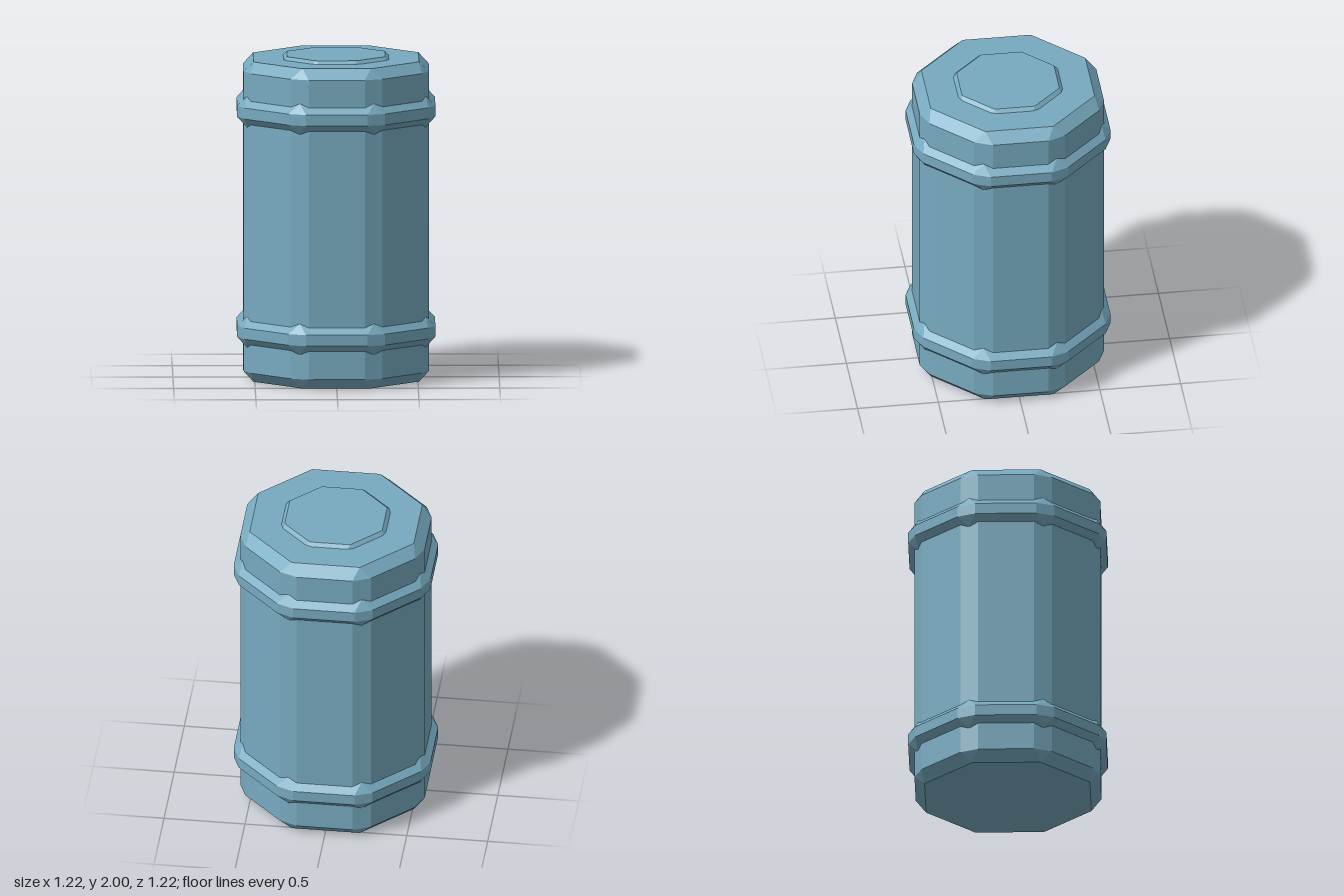
import * as THREE from 'three';

const SHARP = Math.tan(Math.PI / 8); // half-edge / apothem of a plain octagon

// Octagon with cut corners: a = distance to a flat side, h = half length of that side
function section({ y, a, h = a * SHARP }) {
  const pts = [];
  const r = Math.hypot(a, h), d = Math.atan2(h, a);
  for (let k = 0; k < 8; k++) {
    for (const s of [-1, 1]) {
      const t = k * Math.PI / 4 + s * d;
      pts.push(new THREE.Vector3(r * Math.sin(t), y, r * Math.cos(t)));
    }
  }
  return pts;
}

// Skin a stack of sections from bottom to top and close both ends
function loft(name, levels, material) {
  const rings = levels.map(section);
  const pos = [];
  const tri = (a, b, c) => {
    const area = b.clone().sub(a).cross(c.clone().sub(a)).length();
    if (area > 1e-7) for (const p of [a, b, c]) pos.push(p.x, p.y, p.z);
  };
  for (let i = 0; i < rings.length - 1; i++) {
    const lo = rings[i], up = rings[i + 1];
    for (let j = 0; j < 16; j++) {
      const n = (j + 1) % 16;
      tri(lo[j], lo[n], up[n]);
      tri(lo[j], up[n], up[j]);
    }
  }
  const first = rings[0], last = rings[rings.length - 1];
  const bottom = new THREE.Vector3(0, levels[0].y, 0);
  const top = new THREE.Vector3(0, levels[levels.length - 1].y, 0);
  for (let j = 0; j < 16; j++) {
    const n = (j + 1) % 16;
    tri(bottom, first[n], first[j]);
    tri(top, last[j], last[n]);
  }
  const geometry = new THREE.BufferGeometry();
  geometry.setAttribute('position', new THREE.Float32BufferAttribute(pos, 3));
  geometry.computeVertexNormals();
  const mesh = new THREE.Mesh(geometry, material);
  mesh.name = name;
  return mesh;
}

export function createModel() {
  const group = new THREE.Group();
  group.name = 'barrel';
  const paint = new THREE.MeshStandardMaterial({ color: 0x77aac0 });
  paint.name = 'steel blue';
  paint.flatShading = true;

  // Main drum with bevelled rims
  group.add(loft('body', [
    { y: 0, a: 0.507 },
    { y: 0.063, a: 0.57, h: 0.172 },
    { y: 1.917, a: 0.57, h: 0.172 },
    { y: 1.98, a: 0.507 },
  ], paint));

  // Two hoops whose bevels sink into the drum
  for (const [name, y] of [['lowerHoop', 0.31], ['upperHoop', 1.673]]) {
    group.add(loft(name, [
      { y: y - 0.095, a: 0.548 },
      { y: y - 0.034, a: 0.608, h: 0.189 },
      { y: y + 0.034, a: 0.608, h: 0.189 },
      { y: y + 0.095, a: 0.548 },
    ], paint));
  }

  // Raised plate on the lid
  group.add(loft('lidPlate', [
    { y: 1.975, a: 0.323, h: 0.11 },
    { y: 1.98, a: 0.323, h: 0.11 },
    { y: 2, a: 0.301 },
  ], paint));

  return group;
}
